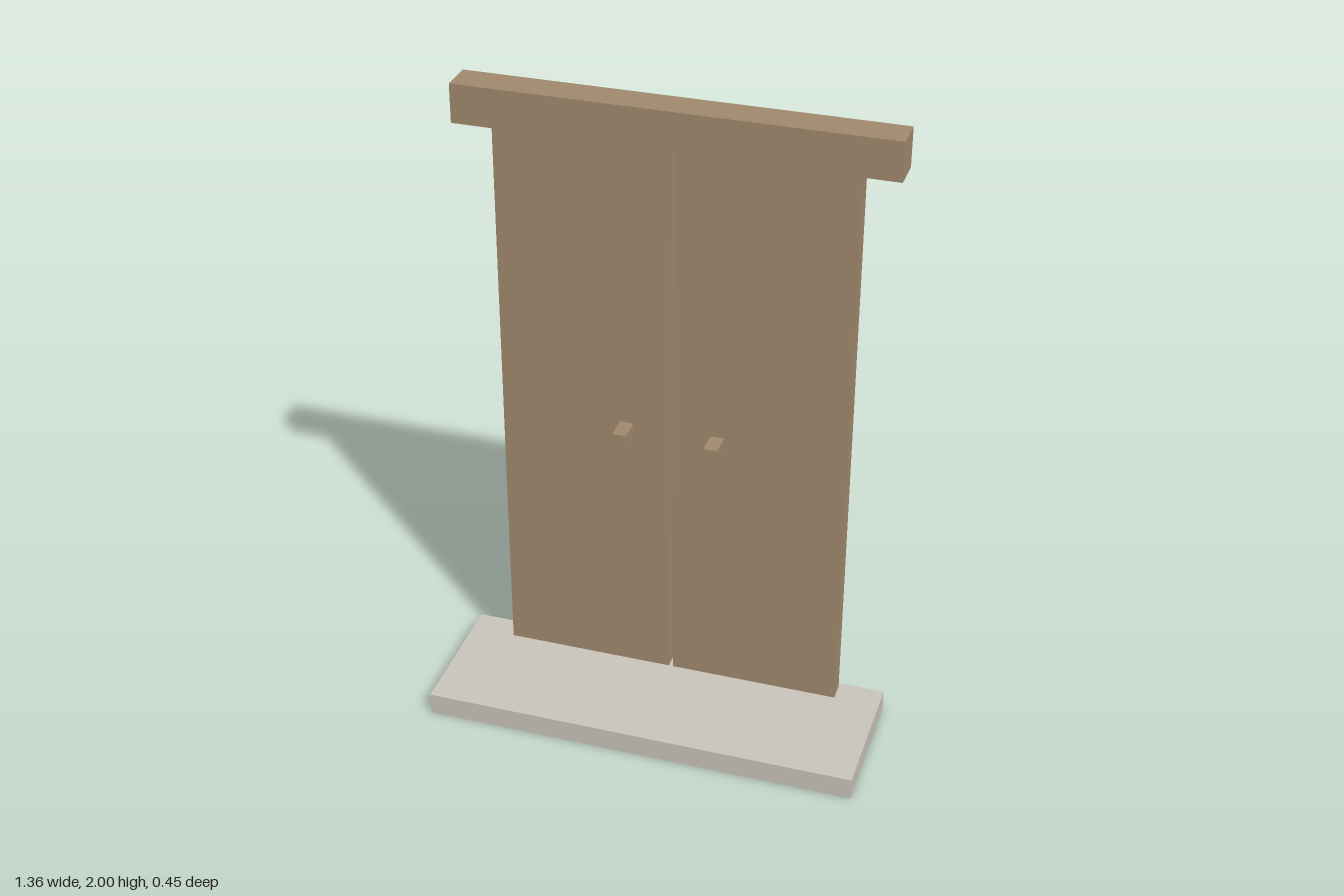
import * as THREE from 'three';

export function createModel() {
  const model = new THREE.Group();
  model.name = 'doubleDoor';

  const wood = new THREE.MeshStandardMaterial({ color: 0xa0896d });
  wood.name = 'wood';
  const stone = new THREE.MeshStandardMaterial({ color: 0xc9c4ba });
  stone.name = 'stone';

  // Box given by its minimum and maximum corners
  function addBox(name, material, [x0, y0, z0], [x1, y1, z1]) {
    const mesh = new THREE.Mesh(new THREE.BoxGeometry(x1 - x0, y1 - y0, z1 - z0), material);
    mesh.position.set((x0 + x1) / 2, (y0 + y1) / 2, (z0 + z1) / 2);
    mesh.name = name;
    model.add(mesh);
  }

  // Doorstep slab and overhanging lintel
  addBox('doorstep', stone, [-0.68, 0, -0.217], [0.68, 0.071, 0.226]);
  addBox('lintel', wood, [-0.653, 1.88, -0.226], [0.653, 2, -0.121]);

  // Two door leaves with a narrow gap, each with a square handle
  for (const [side, s] of [['left', 1], ['right', -1]]) {
    const span = (a, b) => (s > 0 ? [a, b] : [-b, -a]);
    const [d0, d1] = span(0.007, 0.538);
    addBox(side + 'Door', wood, [d0, 0.002, -0.2], [d1, 1.885, -0.142]);
    const [h0, h1] = span(0.12, 0.163);
    addBox(side + 'Handle', wood, [h0, 0.92, -0.145], [h1, 0.963, -0.067]);
  }

  return model;
}
